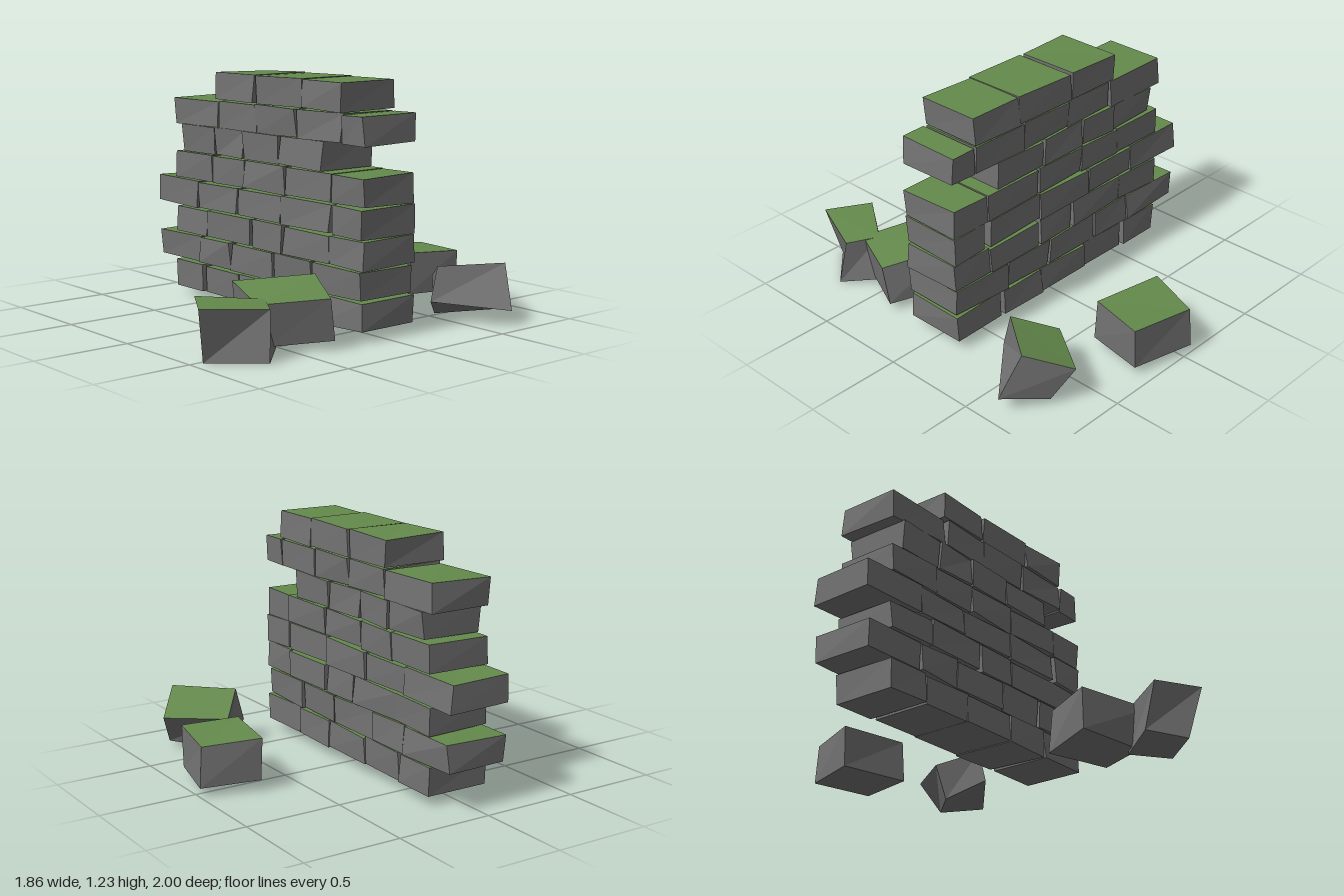
import * as THREE from 'three';

const stone = new THREE.MeshStandardMaterial({ color: 0x737373 });
stone.name = 'grey stone';
const moss = new THREE.MeshStandardMaterial({ color: 0x648a4c });
moss.name = 'moss green';

// Small seeded generator for the uneven brick corners
let seed = 7;
function jitter(amount) {
  seed = (seed * 16807) % 2147483647;
  return (seed / 2147483647 - 0.5) * 2 * amount;
}

// Six-sided block from four top and four bottom corners, clockwise from above; the top is mossy
function block(name, top, bottom) {
  const positions = [];
  const quad = (a, b, c, d) => positions.push(...a, ...b, ...c, ...a, ...c, ...d);
  quad(top[0], top[3], top[2], top[1]);
  quad(bottom[0], bottom[1], bottom[2], bottom[3]);
  for (let i = 0; i < 4; i++) {
    const j = (i + 1) % 4;
    quad(bottom[j], bottom[i], top[i], top[j]);
  }
  const geometry = new THREE.BufferGeometry();
  geometry.setAttribute('position', new THREE.Float32BufferAttribute(positions, 3));
  geometry.computeVertexNormals();
  geometry.addGroup(0, 6, 0);
  geometry.addGroup(6, 30, 1);
  const mesh = new THREE.Mesh(geometry, [moss, stone]);
  mesh.name = name;
  return mesh;
}

// Each course: bottom height, then the left and right end of every brick
const courses = [
  [0.053, [-0.76, -0.52], [-0.50, -0.21], [-0.21, 0.12], [0.12, 0.40], [0.41, 0.72]],
  [0.202, [-0.905, -0.55], [-0.545, -0.29], [-0.28, 0.06], [0.07, 0.36], [0.37, 0.72]],
  [0.350, [-0.76, -0.48], [-0.48, -0.12], [-0.10, 0.13], [0.145, 0.49], [0.49, 0.725]],
  [0.497, [-0.93, -0.56], [-0.555, -0.235], [-0.22, 0.13], [0.13, 0.49], [0.515, 0.72]],
  [0.645, [-0.76, -0.445], [-0.44, -0.175], [-0.17, 0.14], [0.15, 0.50], [0.505, 0.725]],
  [0.793, [-0.695, -0.42], [-0.415, -0.175], [-0.17, 0.10], [0.115, 0.43]],
  [0.935, [-0.765, -0.39], [-0.37, -0.07], [-0.07, 0.24], [0.25, 0.575], [0.58, 0.725]],
  [1.083, [-0.40, -0.09], [-0.075, 0.28], [0.28, 0.575]],
];

function brick(x0, x1, y) {
  const ring = (h) => [[x0, -0.165], [x1, -0.165], [x1, 0.167], [x0, 0.167]]
    .map(([x, z]) => [x + jitter(0.007), h + jitter(0.005), z + jitter(0.01)]);
  return block('brick', ring(y + 0.139), ring(y));
}

// Fallen blocks: corners in the order back, right, front, left
const fallen = [
  ['fallenBlockBack',
    [[-0.045, 0.25, -0.985], [0.29, 0.26, -0.92], [0.23, 0.27, -0.635], [-0.14, 0.27, -0.705]],
    [[-0.05, 0.045, -1.0], [0.28, 0.045, -0.92], [0.23, 0.05, -0.62], [-0.13, 0.055, -0.71]]],
  ['fallenBlockTilted',
    [[0.63, 0.195, -0.855], [0.83, 0.30, -0.70], [0.625, 0.285, -0.43], [0.44, 0.19, -0.58]],
    [[0.72, 0.035, -0.78], [0.93, 0.08, -0.645], [0.625, 0.11, -0.385], [0.49, 0.005, -0.55]]],
  ['fallenBlockNear',
    [[0.43, 0.30, 0.205], [0.73, 0.25, 0.365], [0.585, 0.24, 0.68], [0.215, 0.275, 0.54]],
    [[0.405, 0.065, 0.195], [0.72, 0.045, 0.33], [0.58, 0.035, 0.62], [0.23, 0.065, 0.53]]],
  ['fallenBlockFront',
    [[0.54, 0.25, 0.60], [0.69, 0.24, 0.69], [0.57, 0.265, 1.0], [0.355, 0.27, 0.865]],
    [[0.57, 0.02, 0.56], [0.725, 0.005, 0.72], [0.52, 0.0, 0.94], [0.37, 0.035, 0.79]]],
];

export function createModel() {
  seed = 7;
  const model = new THREE.Group();
  model.name = 'ruinedWall';

  // Standing wall
  const wall = new THREE.Group();
  wall.name = 'wall';
  for (const [y, ...spans] of courses) {
    const course = new THREE.Group();
    course.name = 'course';
    for (const [x0, x1] of spans) course.add(brick(x0, x1, y));
    wall.add(course);
  }
  model.add(wall);

  // Rubble around the wall
  const rubble = new THREE.Group();
  rubble.name = 'rubble';
  for (const [name, top, bottom] of fallen) rubble.add(block(name, top, bottom));
  model.add(rubble);
  return model;
}
